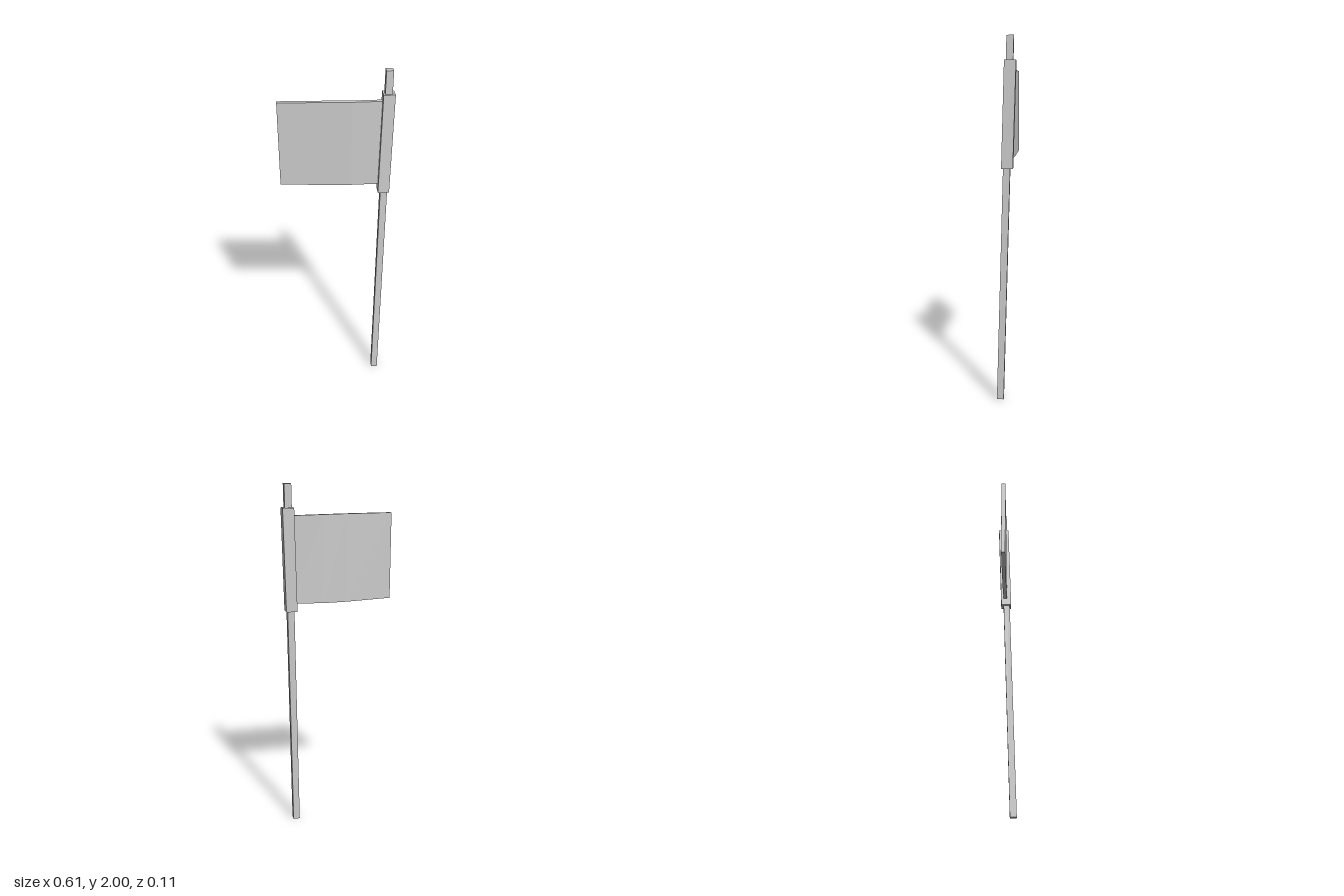
import * as THREE from 'three';

const material = new THREE.MeshStandardMaterial({ color: 0xcccccc, flatShading: true });

// Square bar with level ends that leans from one centre point to another
function leaningBar(name, width, bottom, top) {
  const height = top[1] - bottom[1];
  const geometry = new THREE.BoxGeometry(width, height, width);
  const p = geometry.attributes.position;
  for (let i = 0; i < p.count; i++) {
    const t = p.getY(i) / height + 0.5;
    p.setXYZ(
      i,
      p.getX(i) + THREE.MathUtils.lerp(bottom[0], top[0], t),
      THREE.MathUtils.lerp(bottom[1], top[1], t),
      p.getZ(i) + THREE.MathUtils.lerp(bottom[2], top[2], t)
    );
  }
  geometry.computeVertexNormals();
  const mesh = new THREE.Mesh(geometry, material);
  mesh.name = name;
  return mesh;
}

// Thin cloth slab, bent and slightly twisted towards the pole
function makeFlag() {
  // Each column: x, bottom y, top y, bottom z, top z
  const columns = [
    [-0.305, 1.366, 1.841, -0.0315, -0.0315],
    [-0.05, 1.355, 1.839, -0.0235, -0.024],
    [0.08, 1.353, 1.837, -0.019, -0.02],
    [0.25, 1.358, 1.835, -0.011, -0.025],
  ];
  const thickness = 0.023;
  const geometry = new THREE.BoxGeometry(1, 1, 1, columns.length - 1, 1, 1);
  const p = geometry.attributes.position;
  for (let i = 0; i < p.count; i++) {
    const [x, y0, y1, z0, z1] = columns[Math.round((p.getX(i) + 0.5) * (columns.length - 1))];
    const isTop = p.getY(i) > 0;
    p.setXYZ(i, x, isTop ? y1 : y0, (isTop ? z1 : z0) + p.getZ(i) * thickness);
  }
  geometry.computeVertexNormals();
  const mesh = new THREE.Mesh(geometry, material);
  mesh.name = 'flag';
  return mesh;
}

export function createModel() {
  const model = new THREE.Group();
  model.name = 'flagOnPole';
  model.add(
    leaningBar('pole', 0.038, [0.245, 0, 0.034], [0.27, 2, -0.023]),
    leaningBar('sleeve', 0.062, [0.259, 1.313, -0.006], [0.271, 1.876, -0.023]),
    makeFlag()
  );
  return model;
}
